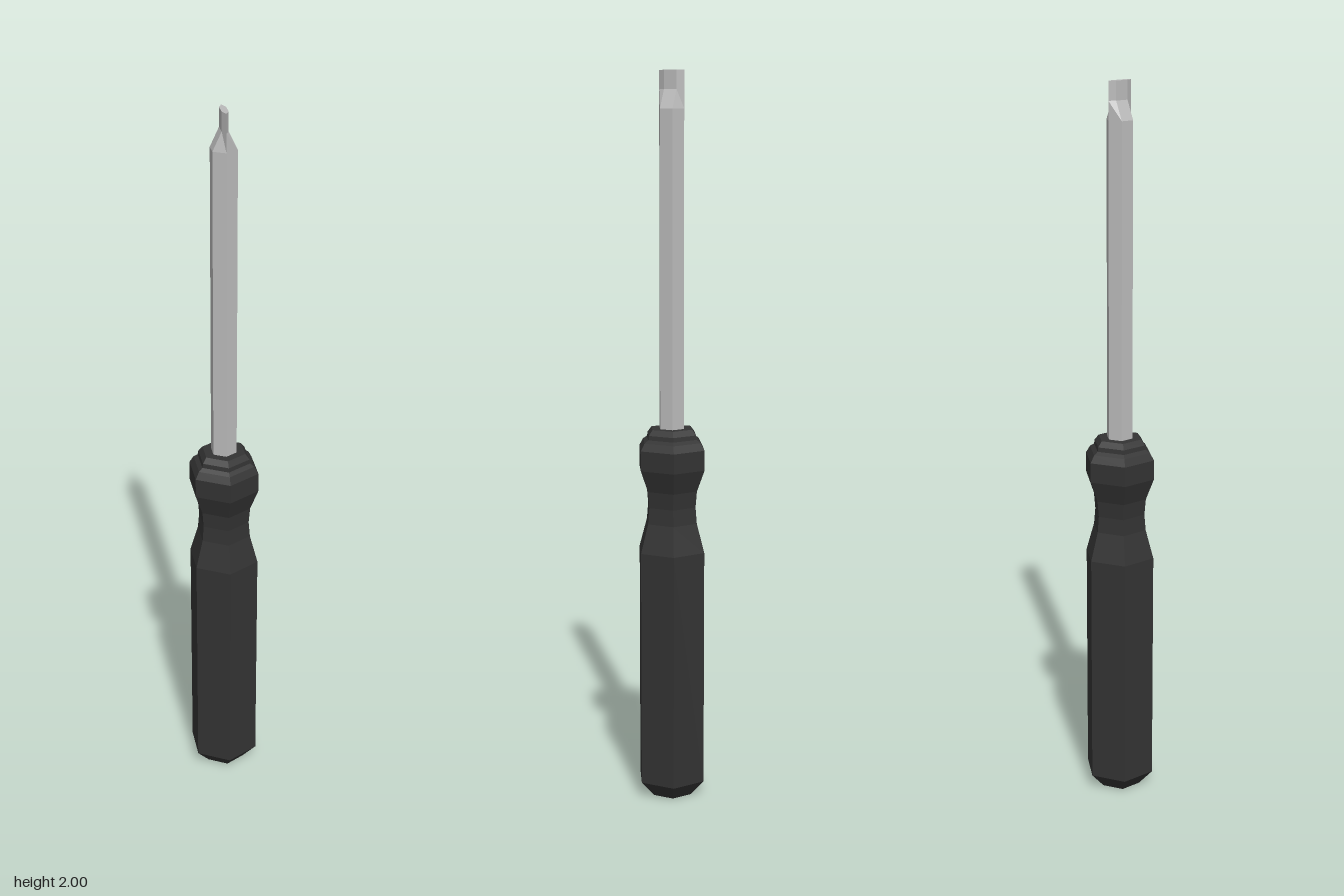
import * as THREE from 'three';

const handleMat = new THREE.MeshStandardMaterial({ name: 'blackHandle', color: 0x333333 });
const steelMat = new THREE.MeshStandardMaterial({ name: 'steel', color: 0xbababa });

// Six-sided turned solid with its corners on the z axis; profile is [radius, y] from the bottom up
function hexSolid(name, profile, material, reshape) {
  const points = profile.map(([r, y]) => new THREE.Vector2(r, y));
  const geo = new THREE.LatheGeometry(points, 6).toNonIndexed();
  const pos = geo.attributes.position;
  if (reshape) {
    for (let i = 0; i < pos.count; i++) pos.setX(i, pos.getX(i) * reshape(pos.getY(i)));
  }
  geo.computeVertexNormals(); // unshared corners give flat facets
  const mesh = new THREE.Mesh(geo, material);
  mesh.name = name;
  return mesh;
}

export function createModel() {
  const group = new THREE.Group();
  group.name = 'screwdriver';

  // Grip with chamfered butt, waisted neck and stepped collar
  group.add(hexSolid('handle', [
    [0, 0], [0.06, 0], [0.1, 0.045], [0.1, 0.705],
    [0.077, 0.785], [0.073, 0.83], [0.077, 0.875],
    [0.1, 0.935], [0.1, 0.99], [0.088, 1.01],
    [0.076, 1.018], [0.074, 1.03], [0.062, 1.045], [0, 1.045],
  ], handleMat));

  // Hexagonal shaft, pinched in x to form the flat tip
  group.add(hexSolid('shaftAndBlade', [
    [0, 1.03], [0.037, 1.03], [0.037, 1.9], [0.037, 1.95], [0.037, 2], [0, 2],
  ], steelMat, (y) => (y > 1.92 ? 0.27 : 1)));

  return group;
}
